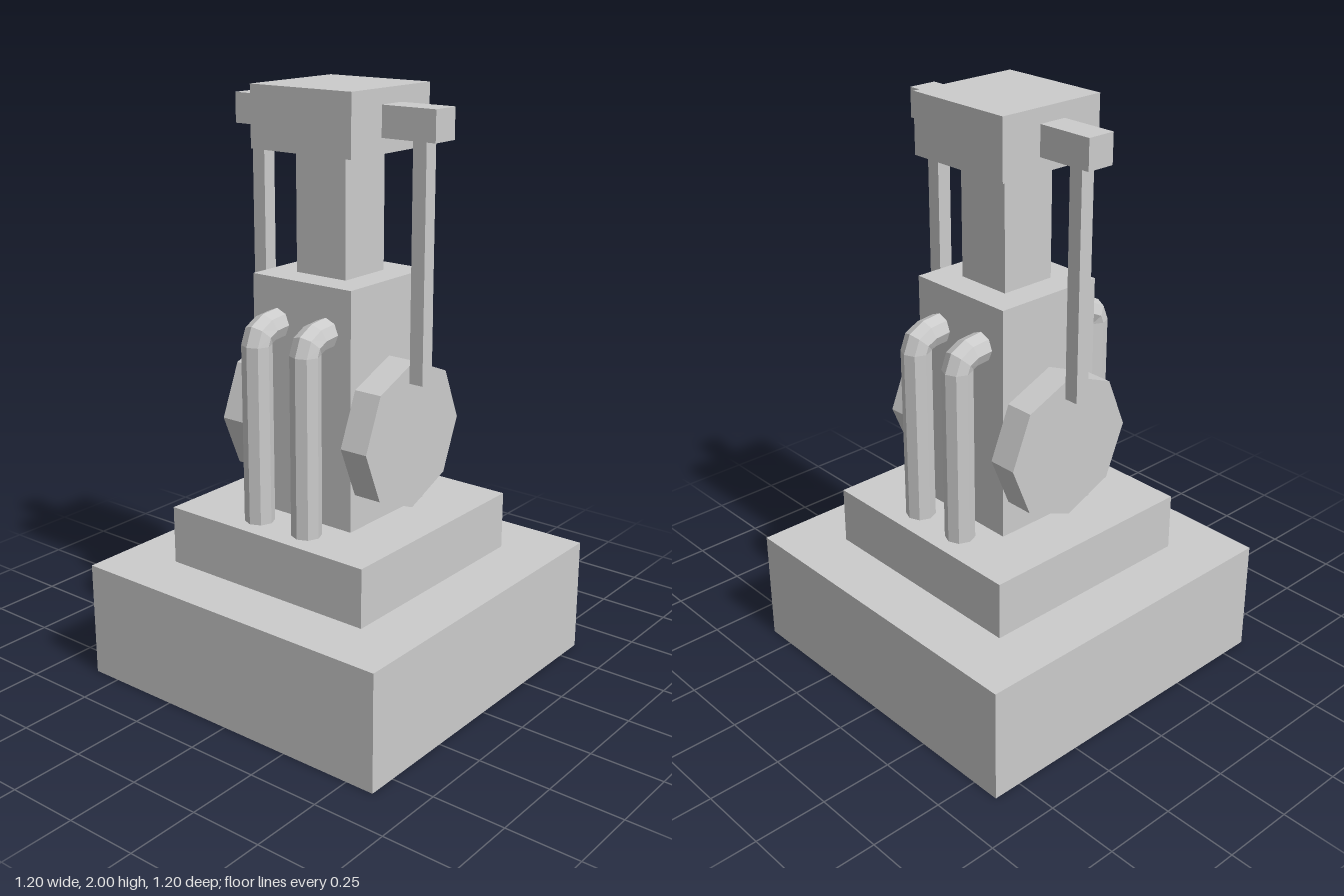
import * as THREE from 'three';

const grey = new THREE.MeshStandardMaterial({ color: 0xcccccc, flatShading: true });
const pipeGrey = new THREE.MeshStandardMaterial({ color: 0xcccccc, flatShading: true, side: THREE.DoubleSide });

function add(parent, name, geometry, x = 0, y = 0, z = 0, material = grey) {
  const mesh = new THREE.Mesh(geometry, material);
  mesh.name = name;
  mesh.position.set(x, y, z);
  parent.add(mesh);
  return mesh;
}

// Box given by its width, depth and lower and upper heights
function block(parent, name, width, depth, bottom, top, z = 0) {
  return add(parent, name, new THREE.BoxGeometry(width, top - bottom, depth), 0, (bottom + top) / 2, z);
}

// Eight-sided pipe: a straight riser, then a three-step bend into the column
function pipeGeometry(radius) {
  const bend = new THREE.QuadraticBezierCurve(
    new THREE.Vector2(0.3, 1.2), new THREE.Vector2(0.3, 1.25), new THREE.Vector2(0.2, 1.25));
  const rings = [{ p: new THREE.Vector2(0.3, 0.6), tilt: 0 }];
  for (let i = 0; i <= 3; i++) {
    const d = bend.getTangent(i / 3);
    rings.push({ p: bend.getPoint(i / 3), tilt: Math.atan2(-d.x, d.y) });
  }
  const steps = rings.length - 1;
  const geometry = new THREE.CylinderGeometry(radius, radius, 1, 8, steps, true);
  const pos = geometry.attributes.position;
  for (let i = 0; i < pos.count; i++) {
    const { p, tilt } = rings[Math.round((pos.getY(i) + 0.5) * steps)];
    const x = pos.getX(i);
    pos.setXY(i, p.x + x * Math.cos(tilt), p.y + x * Math.sin(tilt));
  }
  geometry.computeVertexNormals();
  return geometry;
}

export function createModel() {
  const model = new THREE.Group();
  model.name = 'steamEngine';

  // Stacked body
  block(model, 'base', 1.2, 1.2, 0, 0.4);
  block(model, 'plinth', 0.8, 0.8, 0.4, 0.6);
  block(model, 'column', 0.4, 0.4, 0.6, 1.4);
  block(model, 'neck', 0.2, 0.2, 1.4, 1.8);
  block(model, 'head', 0.4, 0.4, 1.8, 2);

  // Wheel, arm and rod on the front and back
  const wheel = new THREE.CylinderGeometry(0.25, 0.25, 0.1, 8).rotateX(Math.PI / 2);
  for (const [side, s] of [['front', 1], ['back', -1]]) {
    add(model, side + 'Wheel', wheel, 0, 0.9, 0.25 * s);
    block(model, side + 'Arm', 0.1, 0.2, 1.85, 1.95, 0.3 * s);
    block(model, side + 'Rod', 0.05, 0.05, 1.08, 1.85, 0.325 * s);
  }

  // Two pipes on each side
  const pipe = pipeGeometry(0.05);
  for (const [side, turn] of [['left', 0], ['right', Math.PI]]) {
    const pipes = new THREE.Group();
    pipes.name = side + 'Pipes';
    pipes.rotation.y = turn;
    for (const z of [-0.1, 0.1]) add(pipes, 'pipe', pipe, 0, 0, z, pipeGrey);
    model.add(pipes);
  }
  return model;
}
